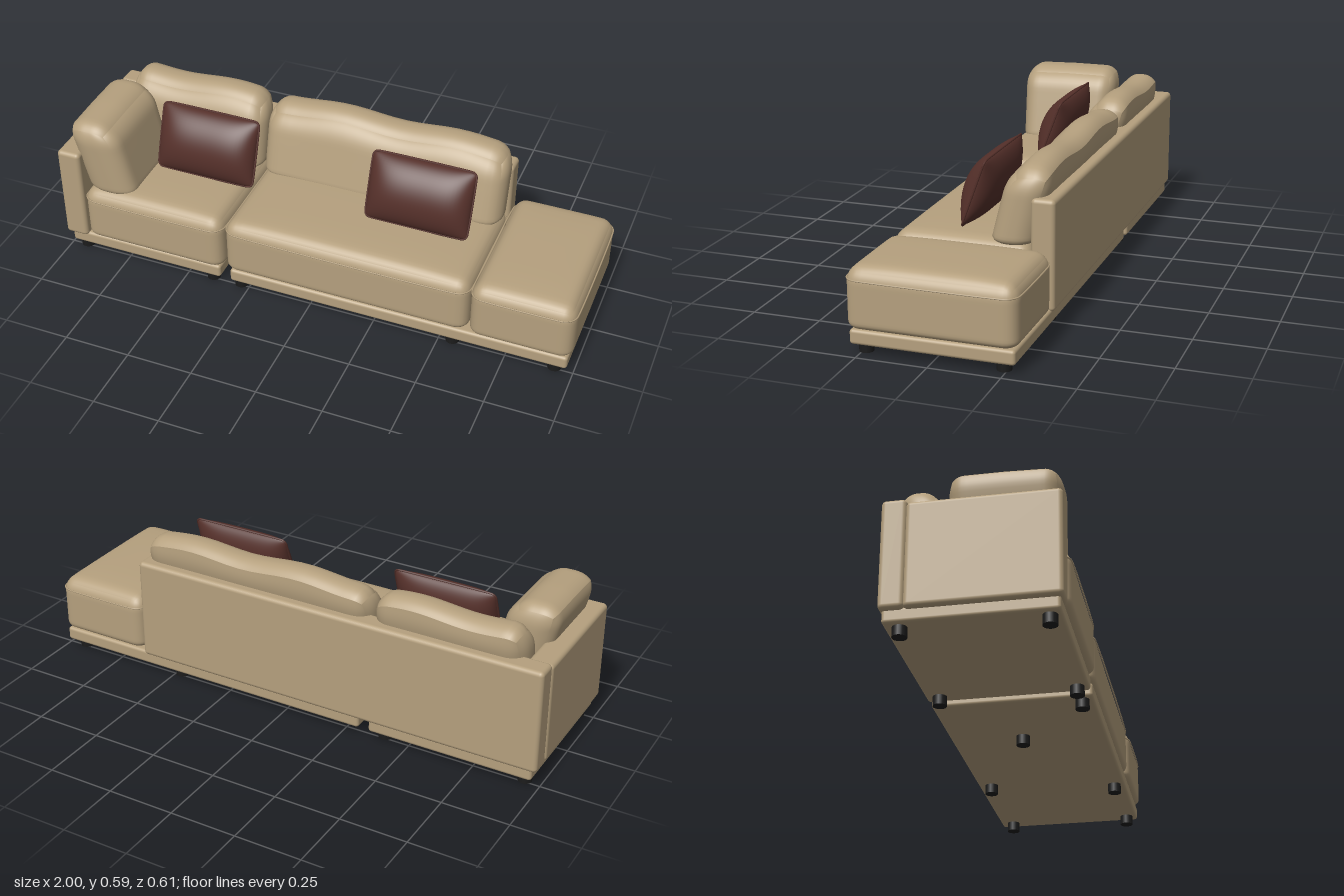
import * as THREE from 'three';
import { mergeVertices, mergeGeometries } from 'three/addons/utils/BufferGeometryUtils.js';
import { RoundedBoxGeometry } from 'three/addons/geometries/RoundedBoxGeometry.js';

const fabric = new THREE.MeshStandardMaterial({ color: 0xb5a07e });
fabric.name = 'beige fabric';
const pillowCloth = new THREE.MeshStandardMaterial({ color: 0x55302a });
pillowCloth.name = 'dark brown cloth';
const legBlack = new THREE.MeshStandardMaterial({ color: 0x1c1c1c });
legBlack.name = 'black legs';

function smooth(geometry) {
  geometry.deleteAttribute('normal');
  geometry.deleteAttribute('uv');
  const merged = mergeVertices(geometry, 1e-5);
  merged.computeVertexNormals();
  return merged;
}

function add(group, name, geometry, material) {
  const mesh = new THREE.Mesh(geometry, material);
  mesh.name = name;
  group.add(mesh);
  return mesh;
}

// Rounded box given by its limits on each axis
function panel(group, name, [x0, x1], [y0, y1], [z0, z1], radius) {
  const geometry = new RoundedBoxGeometry(x1 - x0, y1 - y0, z1 - z0, 4, radius);
  add(group, name, geometry, fabric).position.set((x0 + x1) / 2, (y0 + y1) / 2, (z0 + z1) / 2);
}

// Dense soft box: elliptical edge radii, then a rule that bends it.
// bend(p, u, v, w) receives the point and its -1..1 coordinates.
function cushion(group, name, xs, ys, zs, radii, bottomRadius, bend) {
  const n = 28;
  const geometry = new THREE.BoxGeometry(2, 2, 2, n, n, n);
  const pos = geometry.attributes.position;
  const limits = [xs, ys, zs];
  const half = limits.map(([a, b]) => (b - a) / 2);
  const mid = limits.map(([a, b]) => (a + b) / 2);
  for (let i = 0; i < pos.count; i++) {
    const unit = [pos.getX(i), pos.getY(i), pos.getZ(i)].map((c) => Math.sin((c * Math.PI) / 2));
    const r = [radii[0], unit[1] < 0 ? bottomRadius : radii[1], radii[2]];
    const raw = unit.map((c, k) => c * half[k]);
    const inner = raw.map((c, k) => THREE.MathUtils.clamp(c, r[k] - half[k], half[k] - r[k]));
    const dir = new THREE.Vector3(...raw.map((c, k) => (c - inner[k]) / r[k])).normalize().toArray();
    const p = new THREE.Vector3(...inner.map((c, k) => mid[k] + c + dir[k] * r[k]));
    bend(p, ...unit);
    pos.setXYZ(i, p.x, p.y, p.z);
  }
  return add(group, name, smooth(geometry), fabric);
}

// Piping around a rounded rectangle in the local XY plane
function piping(w, h, corner, thickness) {
  const points = [];
  const signs = [[1, 1], [-1, 1], [-1, -1], [1, -1]];
  signs.forEach(([sx, sy], q) => {
    for (let i = 0; i <= 5; i++) {
      const a = ((q + i / 5) * Math.PI) / 2;
      points.push(new THREE.Vector3(
        sx * (w / 2 - corner) + corner * Math.cos(a),
        sy * (h / 2 - corner) + corner * Math.sin(a), 0));
    }
  });
  const path = new THREE.CatmullRomCurve3(points, true, 'centripetal');
  return new THREE.TubeGeometry(path, 200, thickness, 6, true);
}

function seat(group, name, xs, zs) {
  const part = new THREE.Group();
  part.name = name;
  group.add(part);
  cushion(part, name + 'Cushion', xs, [0.085, 0.303], zs, [0.05, 0.055, 0.05], 0.03, (p, u, v, w) => {
    if (v > 0) p.y += 0.012 * v * (1 - u ** 4) * (1 - w ** 4);
  });
  const seam = add(part, name + 'Piping', piping(xs[1] - xs[0], zs[1] - zs[0], 0.05, 0.003), fabric);
  seam.rotation.x = -Math.PI / 2;
  seam.position.set((xs[0] + xs[1]) / 2, 0.262, (zs[0] + zs[1]) / 2);
}

// Lens-shaped throw pillow leaning on the back
function throwPillow(group, name, x) {
  const part = new THREE.Group();
  part.name = name;
  const w = 0.39, h = 0.255;
  const front = new THREE.PlaneGeometry(2, 2, 32, 32);
  const pos = front.attributes.position;
  for (let i = 0; i < pos.count; i++) {
    const u = Math.sin((pos.getX(i) * Math.PI) / 2);
    const v = Math.sin((pos.getY(i) * Math.PI) / 2);
    const cut = 0.007 * u ** 16 * v ** 16;
    const puff = Math.max(0, 1 - u ** 4) ** 0.6 * Math.max(0, 1 - v * v) ** 0.65;
    pos.setXYZ(i, u * w / 2 - Math.sign(u) * cut, v * h / 2 - Math.sign(v) * cut, 0.064 * puff);
  }
  const back = front.clone().rotateY(Math.PI);
  add(part, name + 'Body', smooth(mergeGeometries([front, back])), pillowCloth);
  add(part, name + 'Piping', piping(w, h, 0.02, 0.004), pillowCloth);
  part.position.set(x, 0.437, 0.017);
  part.rotation.x = -0.35;
  group.add(part);
}

export function createModel() {
  const sofa = new THREE.Group();
  sofa.name = 'sofa';

  // Plinths and upright panels
  panel(sofa, 'cornerBase', [-0.98, -0.355], [0.035, 0.088], [-0.29, 0.28], 0.012);
  panel(sofa, 'longBase', [-0.315, 0.98], [0.035, 0.088], [-0.29, 0.28], 0.012);
  panel(sofa, 'backPanel', [-1, 0.61], [0.077, 0.47], [-0.3, -0.215], 0.016);
  panel(sofa, 'armPanel', [-1, -0.908], [0.077, 0.457], [-0.218, 0.292], 0.016);

  // Seats
  seat(sofa, 'cornerSeat', [-0.908, -0.338], [-0.215, 0.297]);
  seat(sofa, 'middleSeat', [-0.334, 0.61], [-0.215, 0.288]);
  seat(sofa, 'ottomanSeat', [0.613, 0.993], [-0.298, 0.292]);

  // Leaning back cushions with a gently uneven top
  const lean = (p, u, v) => {
    p.z -= 0.036 * (v + 1);
    if (v > 0) p.y += v * (0.008 * Math.sin(p.x * 14 + 2.2) - 0.004 * u * u);
  };
  const backRadii = [0.07, 0.1, 0.075];
  cushion(sofa, 'cornerBackCushion', [-0.91, -0.34], [0.285, 0.573], [-0.217, -0.054], backRadii, 0.03, lean);
  cushion(sofa, 'middleBackCushion', [-0.336, 0.608], [0.285, 0.573], [-0.217, -0.054], backRadii, 0.03, lean);

  // Arm cushion leaning outwards
  cushion(sofa, 'armCushion', [-0.9, -0.705], [0.285, 0.588], [-0.1, 0.278], [0.085, 0.085, 0.06], 0.03,
    (p, u, v, w) => {
      p.x -= 0.036 * (v + 1);
      p.z += 0.006 * w * v;
      if (v > 0) p.y -= 0.006 * v * Math.max(0, w);
    });

  throwPillow(sofa, 'leftEndPillow', 0.333);
  throwPillow(sofa, 'rightEndPillow', -0.508);

  // Short round legs
  const legGeometry = new THREE.CylinderGeometry(0.025, 0.025, 0.038, 20);
  const spots = [
    [-0.94, 0.24], [-0.4, 0.24], [-0.94, -0.238], [-0.4, -0.238],
    [-0.285, 0.24], [0, -0.022], [0.475, -0.238], [0.55, 0.24], [0.93, 0.24], [0.93, -0.238],
  ];
  spots.forEach(([x, z]) => add(sofa, 'leg', legGeometry, legBlack).position.set(x, 0.019, z));

  return sofa;
}
